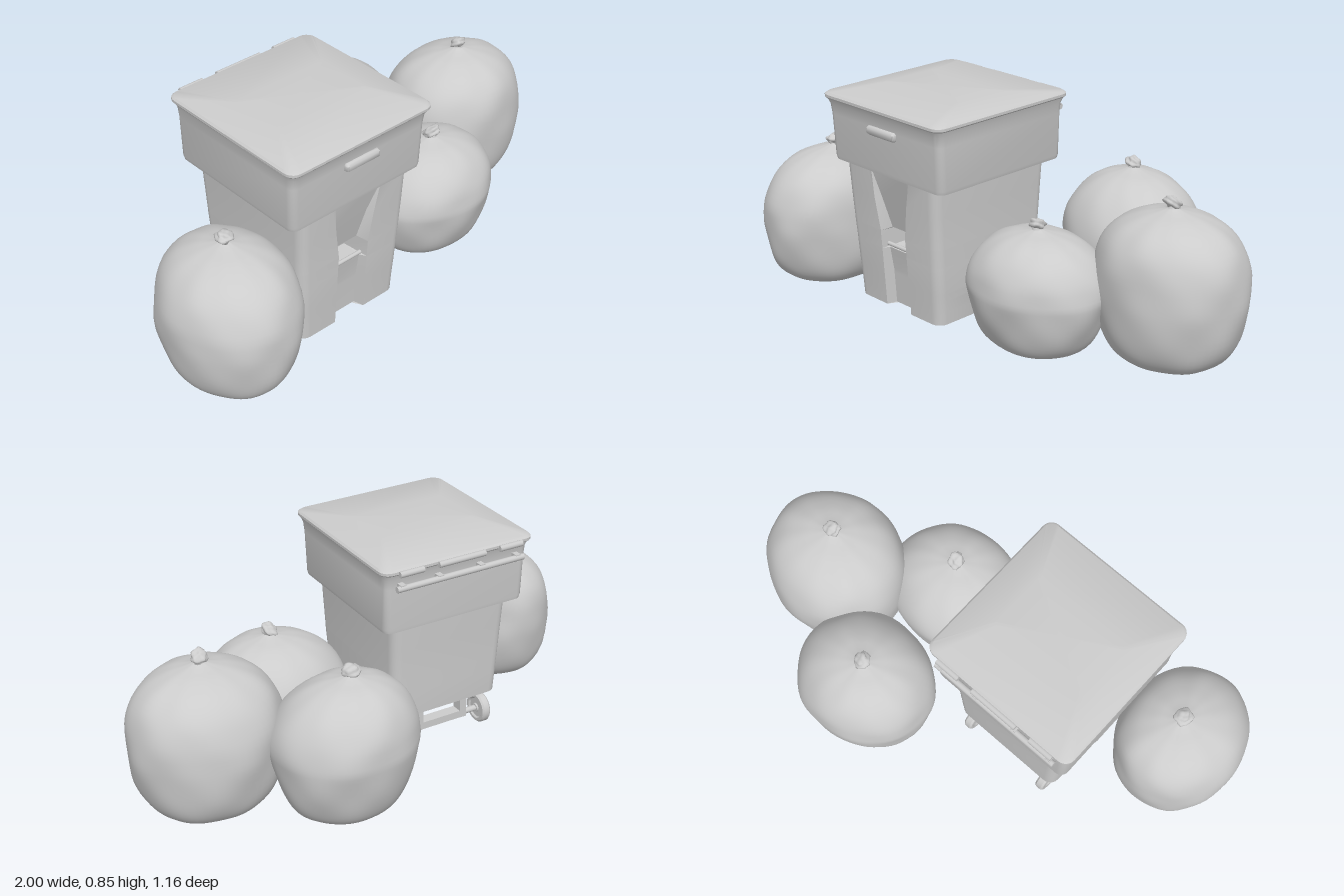
import * as THREE from 'three';
import { mergeVertices, toCreasedNormals } from 'three/addons/utils/BufferGeometryUtils.js';

const material = new THREE.MeshStandardMaterial({ color: 0xcccccc, side: THREE.DoubleSide });

function add(parent, name, geometry, x = 0, y = 0, z = 0) {
  const mesh = new THREE.Mesh(geometry, material);
  mesh.name = name;
  mesh.position.set(x, y, z);
  parent.add(mesh);
  return mesh;
}

// Cylinder lying along x
const rod = (radius, length, sides = 12) =>
  new THREE.CylinderGeometry(radius, radius, length, sides).rotateZ(Math.PI / 2);

// Rounded rectangle outline at height y, with an optional groove of depth d in its front
function ring({ y, hx, zf, zb, r = 0.03, g = 0, d = 0 }) {
  const points = [];
  const corner = (cx, cz, start) => {
    for (let i = 0; i <= 5; i++) {
      const a = start + (i / 5) * Math.PI / 2;
      points.push([cx + r * Math.cos(a), y, cz + r * Math.sin(a)]);
    }
  };
  corner(hx - r, zf - r, 0);
  if (g) points.push([g, y, zf], [g * 0.85, y, zf - d], [-g * 0.85, y, zf - d], [-g, y, zf]);
  corner(-hx + r, zf - r, Math.PI / 2);
  corner(-hx + r, zb + r, Math.PI);
  corner(hx - r, zb + r, Math.PI * 1.5);
  return points;
}

// Skin a stack of outlines from bottom to top and close both ends
function loft(sections, crease = 0.5) {
  const rings = sections.map(ring);
  const n = rings[0].length;
  const positions = rings.flat(2);
  const index = [];
  for (let i = 0; i < rings.length - 1; i++) {
    for (let j = 0; j < n; j++) {
      const a = i * n + j, b = i * n + (j + 1) % n;
      index.push(a, a + n, b, b, a + n, b + n);
    }
  }
  [0, rings.length - 1].forEach((k) => {
    const s = sections[k];
    const c = positions.length / 3;
    positions.push(0, s.y, (s.zf + s.zb) / 2);
    for (let j = 0; j < n; j++) {
      const a = k * n + j, b = k * n + (j + 1) % n;
      if (k === 0) index.push(c, a, b);
      else index.push(c, b, a);
    }
  });
  const geometry = new THREE.BufferGeometry();
  geometry.setAttribute('position', new THREE.Float32BufferAttribute(positions, 3));
  geometry.setIndex(index);
  return toCreasedNormals(geometry, crease);
}

function createBin() {
  const bin = new THREE.Group();
  bin.name = 'wheeledBin';
  bin.position.x = -0.265;

  // Tapered lower body: undercut at the back for the wheels, grooved at the front
  add(bin, 'lowerBody', loft([
    { y: 0.008, hx: 0.23, zf: 0.372, zb: 0.11, g: 0.07, d: 0.04 },
    { y: 0.06, hx: 0.232, zf: 0.375, zb: 0.07, g: 0.07, d: 0.04 },
    { y: 0.105, hx: 0.234, zf: 0.378, zb: 0.0, g: 0.07, d: 0.04 },
    { y: 0.135, hx: 0.236, zf: 0.38, zb: -0.09, g: 0.07, d: 0.04 },
    { y: 0.15, hx: 0.237, zf: 0.381, zb: -0.15, g: 0.07, d: 0.04 },
    { y: 0.245, hx: 0.241, zf: 0.387, zb: -0.155, g: 0.07, d: 0.03 },
    { y: 0.25, hx: 0.241, zf: 0.387, zb: -0.155, g: 0.07, d: 0.11 },
    { y: 0.318, hx: 0.245, zf: 0.392, zb: -0.158, g: 0.07, d: 0.11 },
    { y: 0.323, hx: 0.245, zf: 0.392, zb: -0.158, g: 0.07, d: 0.05 },
    { y: 0.45, hx: 0.25, zf: 0.4, zb: -0.164, g: 0.09, d: 0.025 },
    { y: 0.57, hx: 0.255, zf: 0.406, zb: -0.17, g: 0.115, d: 0 },
  ].map((section) => ({ r: 0.04, ...section }))));
  add(bin, 'frontCatchBar', rod(0.008, 0.12), 0, 0.262, 0.362);

  // Wide upper collar flaring out to the rim
  add(bin, 'upperCollar', loft([
    { y: 0.56, hx: 0.301, zf: 0.416, zb: -0.196 },
    { y: 0.575, hx: 0.305, zf: 0.419, zb: -0.198 },
    { y: 0.74, hx: 0.309, zf: 0.426, zb: -0.2 },
    { y: 0.78, hx: 0.312, zf: 0.431, zb: -0.203 },
    { y: 0.806, hx: 0.32, zf: 0.442, zb: -0.212 },
  ]));

  // Hipped lid with a rolled edge
  add(bin, 'lid', loft([
    { y: 0.803, hx: 0.324, zf: 0.445, zb: -0.217, r: 0.04 },
    { y: 0.808, hx: 0.328, zf: 0.449, zb: -0.221, r: 0.04 },
    { y: 0.818, hx: 0.328, zf: 0.449, zb: -0.221, r: 0.04 },
    { y: 0.825, hx: 0.321, zf: 0.441, zb: -0.213, r: 0.04 },
    { y: 0.846, hx: 0.2, zf: 0.235, zb: 0.0, r: 0.01 },
  ], 0.6));

  add(bin, 'frontHandle', loft([
    { y: 0.711, hx: 0.07, zf: 0.434, zb: 0.41, r: 0.01 },
    { y: 0.718, hx: 0.076, zf: 0.442, zb: 0.41, r: 0.01 },
    { y: 0.738, hx: 0.077, zf: 0.443, zb: 0.41, r: 0.01 },
    { y: 0.745, hx: 0.072, zf: 0.436, zb: 0.41, r: 0.01 },
  ], 0.9));

  // Lid hinges and the pull bar on the back
  [[-0.215, 0.1], [0, 0.2], [0.215, 0.1]].forEach(([x, width]) =>
    add(bin, 'hinge', rod(0.012, width), x, 0.808, -0.226));
  add(bin, 'pullBar', rod(0.012, 0.55), 0, 0.75, -0.224);
  [-0.25, -0.09, 0.09, 0.25].forEach((x) =>
    add(bin, 'pullBarBracket', new THREE.BoxGeometry(0.022, 0.028, 0.036), x, 0.75, -0.212));

  // Wheels with raised rims, on an axle held under the back
  const tyre = [[0.014, -0.012], [0.038, -0.012], [0.044, -0.018], [0.055, -0.018], [0.061, -0.011],
    [0.061, 0.011], [0.055, 0.018], [0.044, 0.018], [0.038, 0.012], [0.014, 0.012]];
  const wheelShape = tyre.map(([r, h]) => new THREE.Vector2(r, h));
  [-1, 1].forEach((side) => {
    const wheel = toCreasedNormals(new THREE.LatheGeometry(wheelShape, 32), 0.6);
    add(bin, 'wheel', wheel.rotateZ(Math.PI / 2), side * 0.187, 0.062, -0.105);
    add(bin, 'wheelHub', rod(0.018, 0.04, 16), side * 0.187, 0.062, -0.105);
    add(bin, 'axleBracket', new THREE.BoxGeometry(0.03, 0.09, 0.045), side * 0.1, 0.095, -0.1);
  });
  add(bin, 'axle', rod(0.012, 0.37), 0, 0.062, -0.105);
  add(bin, 'axleBlock', new THREE.BoxGeometry(0.17, 0.03, 0.045), 0, 0.066, -0.1);
  return bin;
}

// Merge the lathe seam so displaced surfaces shade smoothly
function smooth(geometry) {
  geometry.deleteAttribute('uv');
  geometry.deleteAttribute('normal');
  const merged = mergeVertices(geometry, 1e-5);
  merged.computeVertexNormals();
  return merged;
}

// Radius fraction and height fraction of a full, sagging bag
const plump = [[0, 0.006], [0.35, 0.006], [0.58, 0.022], [0.74, 0.065], [0.86, 0.14], [0.94, 0.25], [0.99, 0.4],
  [1, 0.52], [0.97, 0.66], [0.87, 0.79], [0.68, 0.89], [0.42, 0.955], [0.2, 0.985], [0.07, 1.01], [0.05, 1.05]];
const squat = [[0, 0.006], [0.35, 0.006], [0.57, 0.025], [0.72, 0.075], [0.83, 0.165], [0.92, 0.3], [0.985, 0.46],
  [1, 0.56], [0.94, 0.69], [0.8, 0.81], [0.61, 0.9], [0.4, 0.957], [0.2, 0.985], [0.07, 1.01], [0.05, 1.05]];

function createBag({ x, z, rx, rz, h, knot, seed, profile }) {
  const bag = new THREE.Group();
  bag.name = 'rubbishBag';
  bag.position.set(x, 0, z);
  const curve = new THREE.SplineCurve(profile.map(([r, t]) => new THREE.Vector2(r, t)));
  const outline = curve.getPoints(44);
  outline.forEach((p) => p.set(Math.max(p.x, 0), Math.max(p.y, 0.004)));
  const sack = new THREE.LatheGeometry(outline, 64);
  const position = sack.attributes.position;
  for (let i = 0; i < position.count; i++) {
    const px = position.getX(i), t = position.getY(i), pz = position.getZ(i);
    const a = Math.atan2(pz, px);
    // Broad dents, small wrinkles and pleats gathering at the neck
    const dents = 0.009 * Math.sin(3 * a + seed + 5 * t) + 0.009 * Math.sin(5 * a - 2 * seed + 11 * t);
    const wrinkles = 0.008 * Math.sin(8 * a + seed * 3) * Math.sin(15 * t + seed);
    const pleats = 0.06 * Math.max(0, t - 0.75) * Math.sin(11 * a + seed);
    const k = 1 + dents + wrinkles + pleats;
    const lean = Math.max(0, t - 0.6) * 2.5;
    position.setXYZ(i, px * k * rx + knot[0] * lean, t * h, pz * k * rz + knot[1] * lean);
  }
  add(bag, 'sack', smooth(sack));

  // Twisted neck and crumpled tuft
  const [nx, nz] = knot;
  add(bag, 'neck', new THREE.CylinderGeometry(0.014, 0.03, 0.045, 14), nx, h, nz);
  const tuft = new THREE.SphereGeometry(1, 18, 14);
  const tp = tuft.attributes.position;
  for (let i = 0; i < tp.count; i++) {
    const px = tp.getX(i), py = tp.getY(i), pz = tp.getZ(i);
    const k = 1 + 0.18 * Math.sin(4 * px + seed) * Math.cos(5 * pz + 3 * py) + 0.1 * Math.sin(6 * py + seed);
    tp.setXYZ(i, px * k * 0.033, py * k * 0.02, pz * k * 0.029);
  }
  add(bag, 'tuft', smooth(tuft), nx, h + 0.021, nz).rotation.set(-0.35, seed, 0.3);
  return bag;
}

export function createModel() {
  const model = new THREE.Group();
  model.name = 'binWithRubbishBags';
  model.add(createBin());
  [
    { x: -0.76, z: 0.298, rx: 0.24, rz: 0.28, h: 0.54, knot: [0.015, -0.025], seed: 1.3, profile: plump },
    { x: 0.293, z: -0.333, rx: 0.28, rz: 0.25, h: 0.54, knot: [-0.02, -0.015], seed: 2.6, profile: squat },
    { x: 0.705, z: -0.065, rx: 0.292, rz: 0.258, h: 0.575, knot: [0.005, 0.015], seed: 4.1, profile: plump },
    { x: 0.3, z: 0.19, rx: 0.28, rz: 0.241, h: 0.455, knot: [0.01, 0.015], seed: 5.4, profile: squat },
  ].forEach((spec) => model.add(createBag(spec)));
  return model;
}
